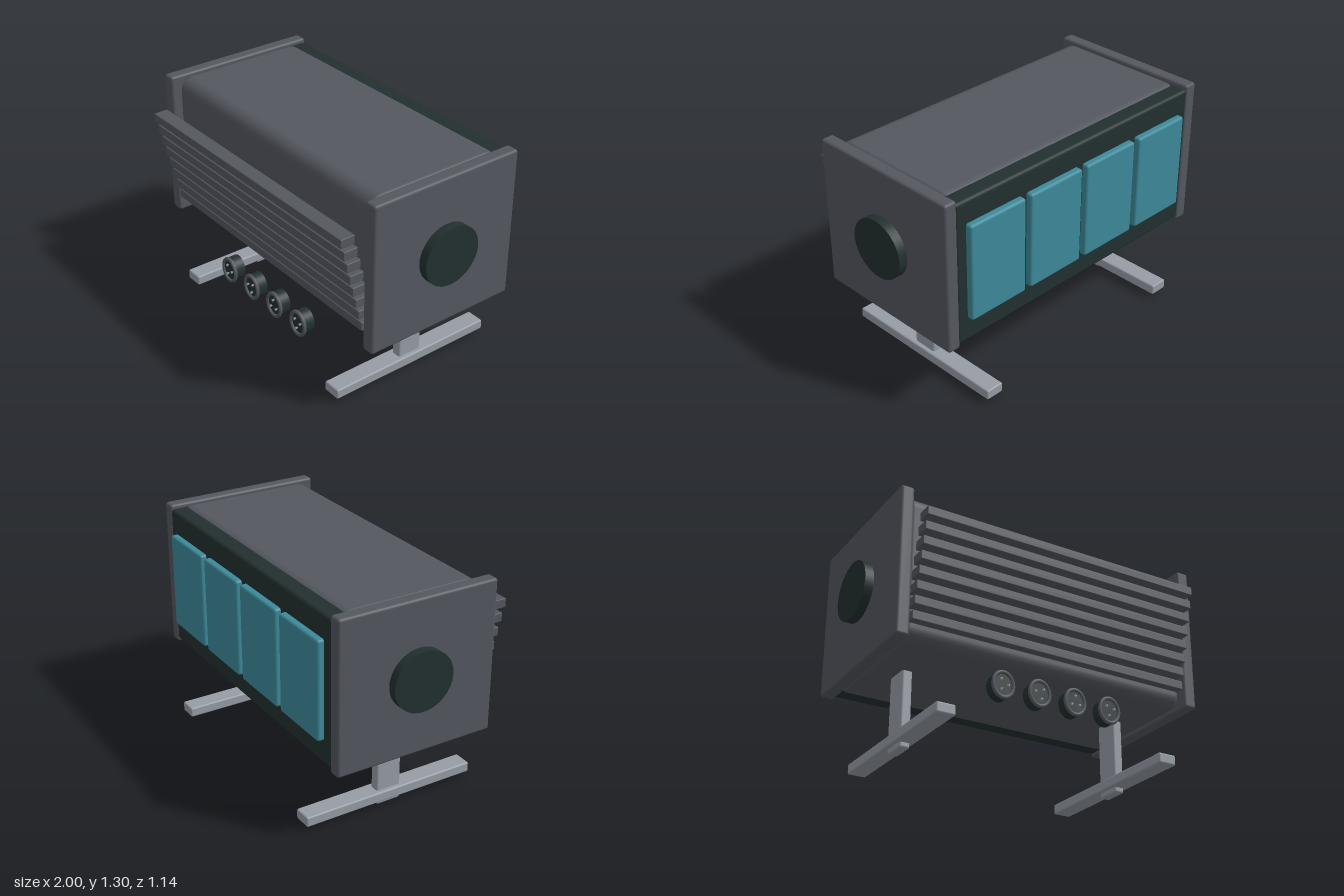
import * as THREE from 'three';
import { RoundedBoxGeometry } from 'three/addons/geometries/RoundedBoxGeometry.js';

const material = (name, color) => {
  const m = new THREE.MeshStandardMaterial({ color });
  m.name = name;
  return m;
};

export function createModel() {
  const model = new THREE.Group();
  const casing = material('slate casing', 0x54575f);
  const dark = material('near black green', 0x22302f);
  const teal = material('teal panel', 0x3d8a9a);
  const steel = material('light steel', 0x969ca5);

  const add = (name, geometry, mat, parent = model) => {
    const mesh = new THREE.Mesh(geometry, mat);
    mesh.name = name;
    parent.add(mesh);
    return mesh;
  };

  // Rounded box given by its extents on each axis
  const block = (name, [x0, x1], [y0, y1], [z0, z1], radius, mat, squash = 1) => {
    const g = new RoundedBoxGeometry((x1 - x0) / squash, y1 - y0, z1 - z0, 3, radius);
    g.scale(squash, 1, 1);
    g.translate((x0 + x1) / 2, (y0 + y1) / 2, (z0 + z1) / 2);
    return add(name, g, mat);
  };

  // Main casing and the dark frame behind it
  block('body', [-0.88, 0.88], [0.438, 1.29], [-0.455, 0.388], 0.075, casing, 0.5);
  block('backFrame', [-0.88, 0.88], [0.445, 1.28], [-0.512, -0.39], 0.02, dark);

  // Four panels on the back
  for (let i = 0; i < 4; i++) {
    const x = (i - 1.5) * 0.417;
    block('backPanel', [x - 0.19, x + 0.19], [0.583, 1.148], [-0.55, -0.48], 0.015, teal);
  }

  // Leaning stack of front slats
  for (let i = 0; i < 8; i++) {
    const y = 1.1 - i * 0.0777, z = 0.571 - i * 0.0195;
    block('frontSlat', [-0.86, 0.86], [y - 0.026, y + 0.026], [z - 0.087, z], 0.005, casing);
  }

  for (const side of [-1, 1]) {
    // End plate with its round hub
    const px = side * 0.91;
    block('endPlate', [px - 0.039, px + 0.039], [0.427, 1.303], [-0.514, 0.436], 0.016, casing);
    const hub = new THREE.CylinderGeometry(1, 1, 0.08, 48);
    hub.rotateZ(Math.PI / 2).scale(1, 0.17, 0.178);
    add('endHub', hub, dark).position.set(side * 0.96, 0.867, -0.039);

    // Leg post and foot bar
    const x = side * 0.681;
    block('legPost', [x - 0.03, x + 0.03], [0, 0.5], [-0.114, 0.037], 0.012, steel);
    block('footBar', [x - 0.055, x + 0.055], [0.03, 0.09], [-0.567, 0.487], 0.01, steel);
  }

  // Slightly oval knobs below the front edge
  for (let i = 0; i < 4; i++) {
    const knob = new THREE.Group();
    knob.name = 'knob';
    knob.position.set((i - 1.5) * 0.2215, 0.282, 0);
    knob.scale.set(0.855, 1, 1);
    model.add(knob);
    const drum = new THREE.CylinderGeometry(0.075, 0.075, 0.066, 32).rotateX(Math.PI / 2);
    add('knobDrum', drum, dark, knob).position.z = 0.413;
    const rim = new THREE.TorusGeometry(0.0705, 0.0115, 10, 32);
    add('knobRim', rim, casing, knob).position.z = 0.446;
    for (let k = 0; k < 3; k++) {
      const a = i * 0.8 + k * Math.PI * 2 / 3;
      const pip = new THREE.CylinderGeometry(0.009, 0.009, 0.014, 3).rotateX(Math.PI / 2);
      add('knobPip', pip, steel, knob).position.set(Math.cos(a) * 0.033, Math.sin(a) * 0.033, 0.452);
    }
  }

  return model;
}
